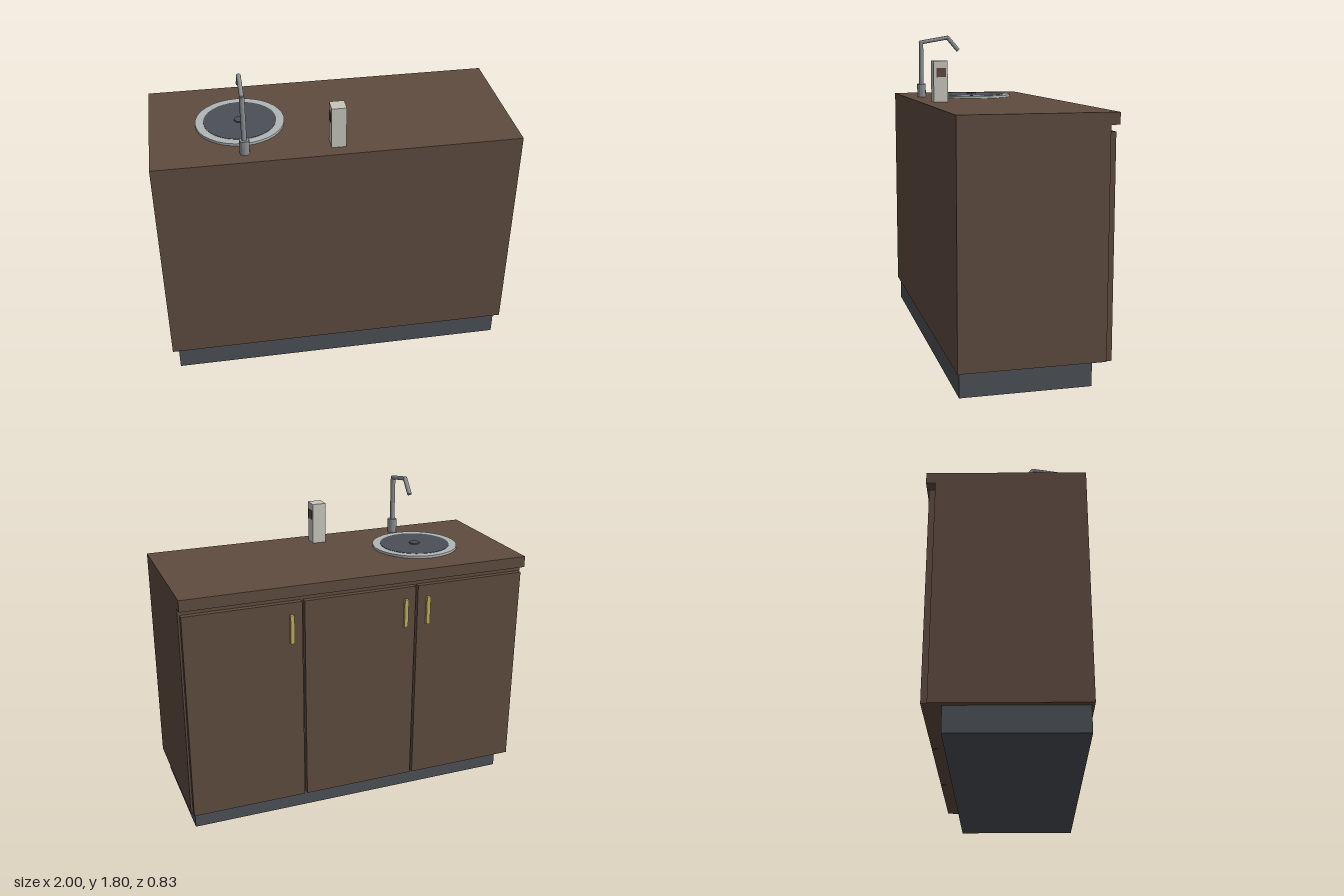
import * as THREE from 'three';

export function createModel() {
  const model = new THREE.Group();
  model.name = 'sinkCabinet';

  const paint = (name, color, extra = {}) => {
    const m = new THREE.MeshStandardMaterial({ color, ...extra });
    m.name = name;
    return m;
  };
  const wood = paint('brownWood', 0x5f4c40);
  const dark = paint('darkGrey', 0x4c5056);
  const rimSteel = paint('paleSteel', 0xb0b5b6);
  const steel = paint('steel', 0x8c9092, { flatShading: true });
  const brass = paint('brass', 0xc2ad62);
  const ivory = paint('ivory', 0xc8c7be);

  const add = (name, geometry, material, parent = model) => {
    const mesh = new THREE.Mesh(geometry, material);
    mesh.name = name;
    parent.add(mesh);
    return mesh;
  };
  // Box given by its minimum and maximum on each axis
  const box = (name, material, [x0, x1], [y0, y1], [z0, z1], parent) => {
    const g = new THREE.BoxGeometry(x1 - x0, y1 - y0, z1 - z0);
    g.translate((x0 + x1) / 2, (y0 + y1) / 2, (z0 + z1) / 2);
    return add(name, g, material, parent);
  };
  // Upright disc or post standing on y0
  const disc = (name, material, radius, y0, y1, x, z, sides, parent) => {
    const g = new THREE.CylinderGeometry(radius, radius, y1 - y0, sides);
    g.translate(x, (y0 + y1) / 2, z);
    return add(name, g, material, parent);
  };
  // Straight round pipe between two points
  const pipe = (name, a, b, radius, parent) => {
    const dir = b.clone().sub(a);
    const mesh = add(name, new THREE.CylinderGeometry(radius, radius, dir.length(), 12), steel, parent);
    mesh.position.copy(a).add(b).multiplyScalar(0.5);
    mesh.quaternion.setFromUnitVectors(new THREE.Vector3(0, 1, 0), dir.normalize());
    return mesh;
  };

  // Cabinet body
  box('plinth', dark, [-0.965, 0.965], [0, 0.137], [-0.3, 0.4]);
  box('carcass', wood, [-1, 1], [0.137, 1.355], [-0.367, 0.415]);
  box('worktop', wood, [-1, 1], [1.355, 1.418], [-0.415, 0.415]);

  // Three doors on the back, each with a vertical handle
  const handleX = [-0.4, -0.265, 0.4];
  for (let i = 0; i < 3; i++) {
    const cx = (i - 1) * 0.664;
    box('door', wood, [cx - 0.325, cx + 0.325], [0.137, 1.32], [-0.398, -0.367]);
    box('handle', brass, [handleX[i] - 0.011, handleX[i] + 0.011], [1.09, 1.253], [-0.415, -0.398]);
  }

  // Round sink
  const sink = new THREE.Group();
  sink.name = 'sink';
  model.add(sink);
  disc('sinkRim', rimSteel, 0.247, 1.418, 1.432, -0.5, 0, 32, sink);
  disc('sinkBowl', dark, 0.202, 1.43, 1.434, -0.5, 0, 32, sink);
  disc('drain', dark, 0.03, 1.434, 1.441, -0.5, 0, 20, sink);

  // Tap with an angled spout
  const tap = new THREE.Group();
  tap.name = 'tap';
  model.add(tap);
  const P = (y, z) => new THREE.Vector3(-0.5, y, z);
  disc('tapBase', steel, 0.027, 1.418, 1.5, -0.5, 0.32, 12, tap);
  pipe('tapRiser', P(1.5, 0.32), P(1.757, 0.32), 0.014, tap);
  pipe('tapArm', P(1.755, 0.328), P(1.787, 0.147), 0.012, tap);
  pipe('tapSpout', P(1.787, 0.152), P(1.707, 0.084), 0.013, tap);

  // Soap dispenser with a small panel on both sides
  const dispenser = new THREE.Group();
  dispenser.name = 'dispenser';
  model.add(dispenser);
  box('dispenserBody', ivory, [-0.04, 0.04], [1.418, 1.653], [0.26, 0.342], dispenser);
  for (const s of [-1, 1]) {
    box('dispenserPanel', wood, [s * 0.041 - 0.002, s * 0.041 + 0.002], [1.56, 1.612], [0.272, 0.326], dispenser);
  }
  return model;
}
